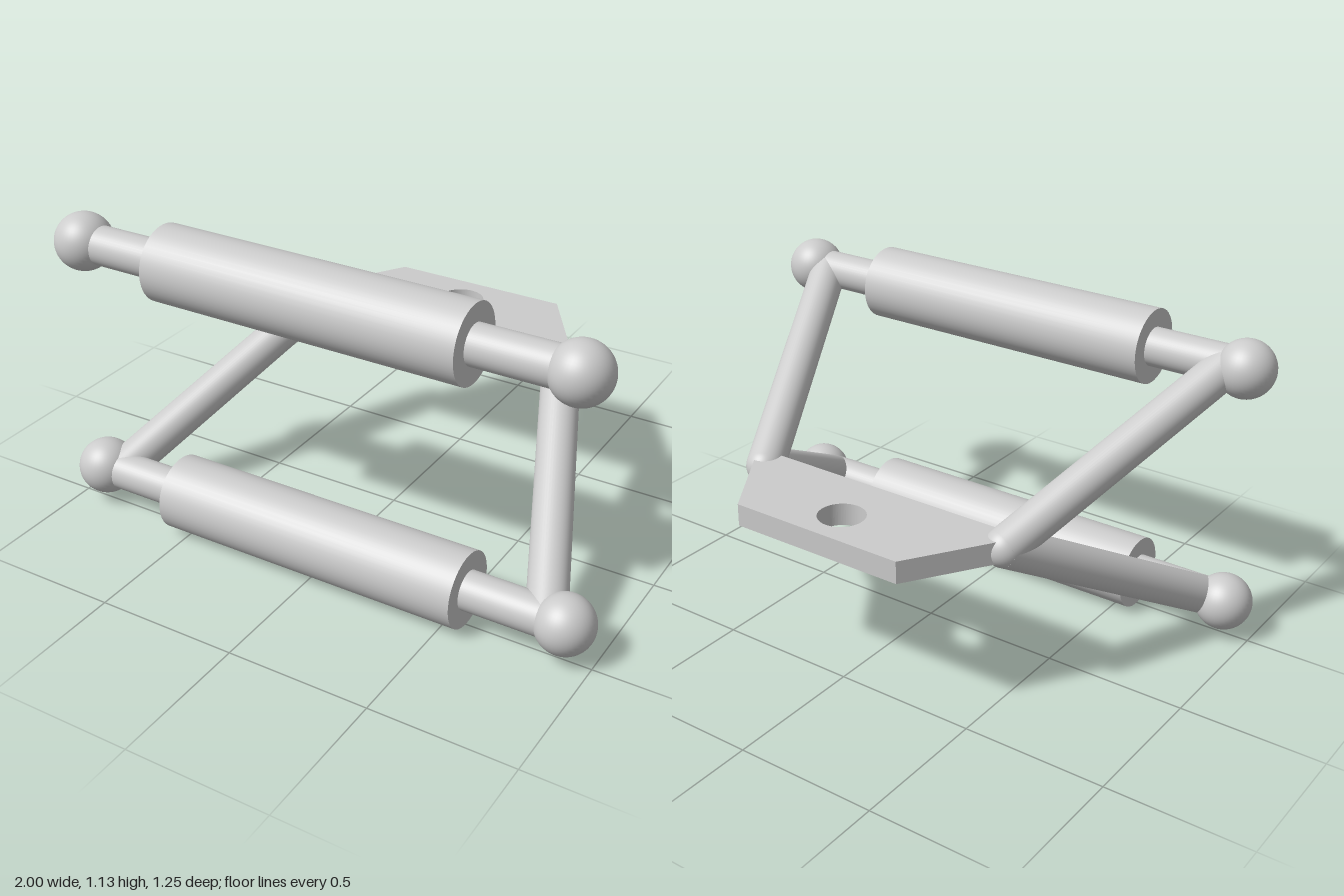
import * as THREE from 'three';

const material = new THREE.MeshStandardMaterial({ color: 0xcccccc });
const LOW = 0.131, HIGH = 1.002, MID = (LOW + HIGH) / 2;
const BAR_Z = 0.493, ROD_R = 0.067;

function add(parent, name, geometry, x = 0, y = 0, z = 0) {
  const mesh = new THREE.Mesh(geometry, material);
  mesh.name = name;
  mesh.position.set(x, y, z);
  parent.add(mesh);
  return mesh;
}

// Cylinder running from point a to point b
function rod(parent, name, a, b, radius) {
  const dir = b.clone().sub(a);
  const mesh = add(parent, name, new THREE.CylinderGeometry(radius, radius, dir.length(), 48));
  mesh.position.copy(a).addScaledVector(dir, 0.5);
  mesh.quaternion.setFromUnitVectors(new THREE.Vector3(0, 1, 0), dir.normalize());
  return mesh;
}

export function createModel() {
  const model = new THREE.Group();
  model.name = 'doubleHandleFrame';

  // Two horizontal bars, each with a thick grip and ball ends
  for (const [level, y] of [['lower', LOW], ['upper', HIGH]]) {
    const bar = new THREE.Group();
    bar.name = level + 'Handle';
    model.add(bar);
    const at = (x) => new THREE.Vector3(x, y, BAR_Z);
    rod(bar, 'crossRod', at(-0.9), at(0.9), ROD_R);
    rod(bar, 'grip', at(-0.563), at(0.563), 0.13);
    for (const s of [-1, 1]) {
      add(bar, 'endBall', new THREE.SphereGeometry(0.1, 40, 28), s * 0.9, y, BAR_Z);
    }
  }

  // V-shaped side arms meeting at a rounded joint beside the plate
  for (const [side, s] of [['left', 1], ['right', -1]]) {
    const joint = new THREE.Vector3(s * 0.495, MID, -0.293);
    add(model, side + 'Joint', new THREE.SphereGeometry(ROD_R, 40, 28), ...joint.toArray());
    for (const [level, y] of [['Lower', LOW], ['Upper', HIGH]]) {
      rod(model, side + level + 'Arm', joint, new THREE.Vector3(s * 0.837, y, BAR_Z), ROD_R);
    }
  }

  // Tapered mounting plate with a round hole; shape y maps to -z
  const outline = new THREE.Shape([
    [-0.55, 0.265], [0.55, 0.265], [0.32, 0.623], [-0.32, 0.623],
  ].map(([x, y]) => new THREE.Vector2(x, y)));
  outline.holes.push(new THREE.Path().absarc(0, 0.485, 0.08, 0, Math.PI * 2, true));
  const thickness = 0.078;
  const plate = new THREE.ExtrudeGeometry(outline, { depth: thickness, bevelEnabled: false, curveSegments: 48 });
  plate.rotateX(-Math.PI / 2);
  add(model, 'mountingPlate', plate, 0, MID + 0.002 - thickness / 2, 0);

  return model;
}
